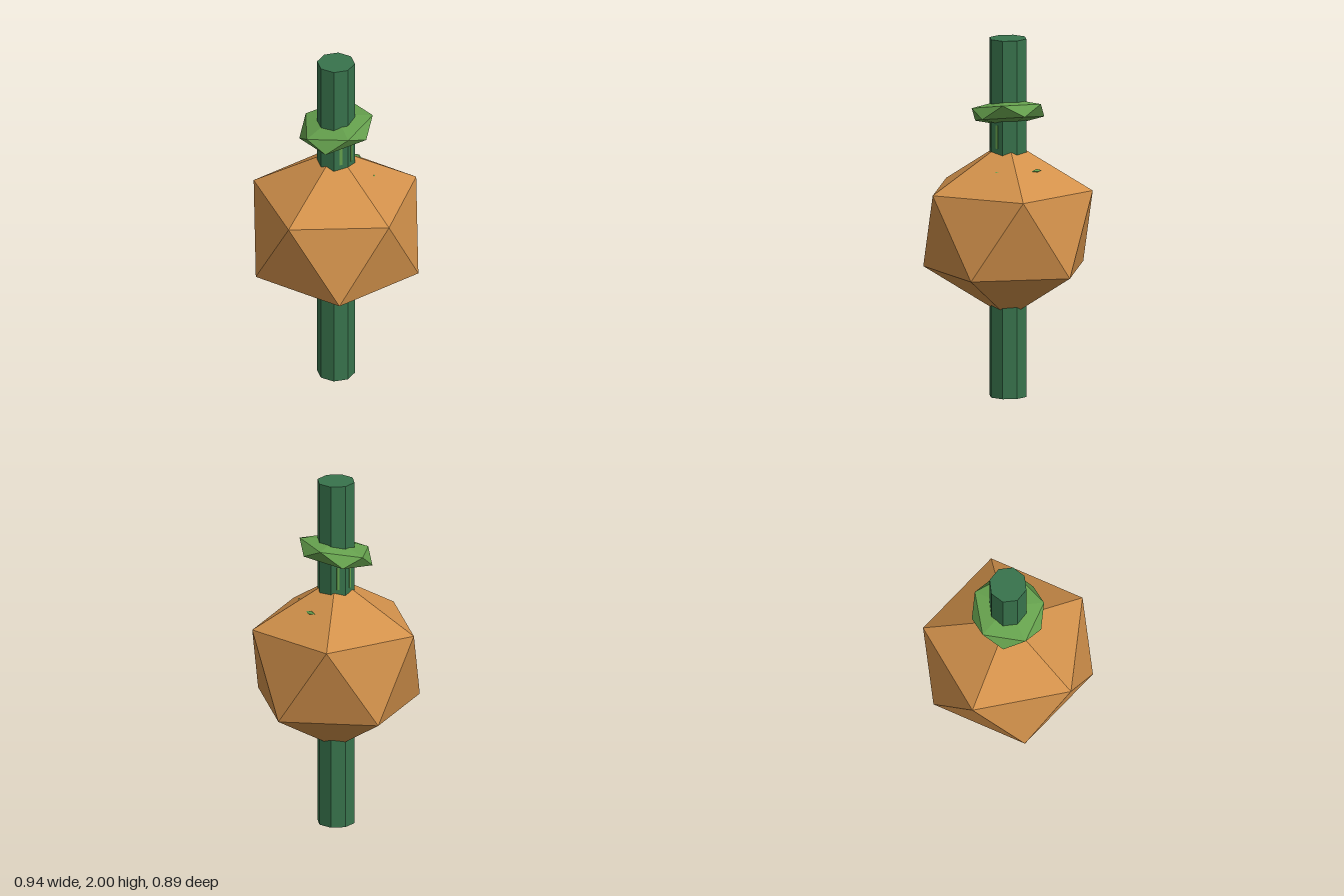
import * as THREE from 'three';
import { ConvexGeometry } from 'three/addons/geometries/ConvexGeometry.js';

// Pole-up icosahedron; twist turns it about y, tiltX / tiltZ shear its height
function icosahedron(radius, height, twist, tiltX = 0, tiltZ = 0) {
  const points = [];
  for (const side of [1, -1]) {
    points.push(new THREE.Vector3(0, side * height, 0));
    for (let i = 0; i < 5; i++) {
      const a = twist + i * Math.PI * 0.4;
      const x = side * radius * Math.cos(a), z = side * radius * Math.sin(a);
      points.push(new THREE.Vector3(x, side * height * 0.447 + tiltX * x + tiltZ * z, z));
    }
  }
  return new ConvexGeometry(points);
}

export function createModel() {
  const group = new THREE.Group();
  const material = (name, color) => {
    const m = new THREE.MeshStandardMaterial({ color });
    m.name = name;
    m.flatShading = true;
    return m;
  };
  const orange = material('orange', 0xd2914b);
  const darkGreen = material('dark green', 0x38734c);
  const leafGreen = material('leaf green', 0x65a04d);

  const add = (name, geometry, mat, x, y, z) => {
    const mesh = new THREE.Mesh(geometry, mat);
    mesh.name = name;
    mesh.position.set(x, y, z);
    group.add(mesh);
    return mesh;
  };

  // Eight-sided post through everything
  add('stem', new THREE.CylinderGeometry(0.105, 0.105, 2, 8), darkGreen, 0, 1, 0);

  // Faceted body and tilted collar
  add('body', icosahedron(0.47, 0.498, 0), orange, 0, 0.937, 0);
  add('collar', icosahedron(0.202, 0.077, 0.33, 0.04, -0.2), leafGreen, 0, 1.585, 0);

  // Slim strips on the stem below the collar
  for (const side of [0, Math.PI]) {
    for (const turn of [-1, 1]) {
      const a = side + turn * Math.PI / 8;
      const strip = add('stemStrip', new THREE.BoxGeometry(0.004, 0.13, 0.016), leafGreen,
        0.097 * Math.cos(a), 1.46, 0.097 * Math.sin(a));
      strip.rotation.y = -a;
    }
  }

  // Small leaf tips breaking through the back of the body
  for (const [x, z, size, turn] of [[-0.07, -0.2, 0.037, 0.2], [0.15, -0.147, 0.013, -0.9]]) {
    const tip = add('leafTip', new THREE.OctahedronGeometry(1), leafGreen, x, 1.284, z);
    tip.scale.set(size, size * 0.3, size * 0.55);
    tip.rotation.y = turn;
  }
  return group;
}
